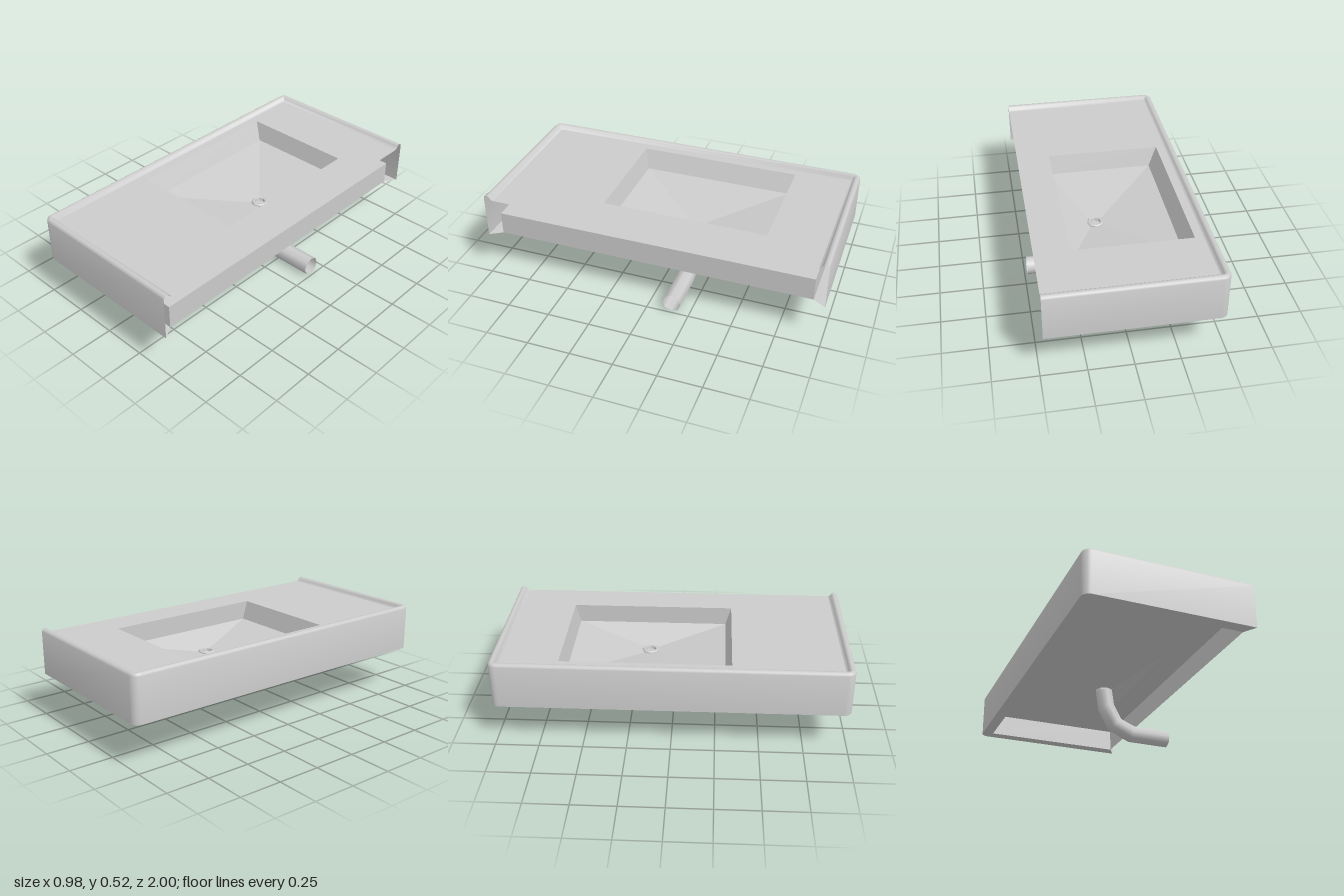
import * as THREE from 'three';
import { toCreasedNormals } from 'three/addons/utils/BufferGeometryUtils.js';

const material = new THREE.MeshStandardMaterial({ color: 0xcccccc, side: THREE.DoubleSide });
const FRONT = -0.49, BACK = 0.475, INNER_BACK = 0.43;
const DECK_Y = 0.5, CEILING_Y = 0.39, BASE_Y = 0.255;
const DRAIN = { x: 0.07, y: 0.315, z: -0.145 };

function part(name, geometry, crease) {
  const mesh = new THREE.Mesh(crease ? toCreasedNormals(geometry, crease) : geometry, material);
  mesh.name = name;
  return mesh;
}

// Surface between successive loops of [x, y, z] points
function loft(loops, closed) {
  const n = loops[0].length, index = [];
  for (let j = 0; j < loops.length - 1; j++) {
    for (let i = 0; i < (closed ? n : n - 1); i++) {
      const k = (i + 1) % n;
      const a = j * n + i, b = j * n + k, c = a + n, d = b + n;
      index.push(a, b, c, b, d, c);
    }
  }
  const g = new THREE.BufferGeometry();
  g.setAttribute('position', new THREE.Float32BufferAttribute(loops.flat(2), 3));
  g.setIndex(index);
  g.computeVertexNormals();
  return g;
}

// U-shaped plan outline, open at the wall side, with rounded front corners
function outline(inset, back) {
  const r = 0.045, steps = 6, c = Math.max(inset, r), rad = Math.max(r - inset, 0.004);
  const pts = [[back, 1 - inset]];
  for (const side of [1, -1]) {
    for (let i = 0; i <= steps; i++) {
      const a = (side > 0 ? i : steps - i) / steps * Math.PI / 2;
      pts.push([FRONT + c - rad * Math.sin(a), side * (1 - c + rad * Math.cos(a))]);
    }
  }
  pts.push([back, inset - 1]);
  return pts;
}

const wallLoop = (inset, y, back = BACK) => outline(inset, back).map(([x, z]) => [x, y, z]);

// Rectangle in plan, as corner points
const rect = (x0, x1, z0, z1) => [[x0, z0], [x1, z0], [x1, z1], [x0, z1]];

// Horizontal sheet with a hole
function sheet(points, hole, y) {
  const toVec = (p) => new THREE.Vector2(p[0], p[1]);
  const shape = new THREE.Shape(points.map(toVec));
  shape.holes.push(new THREE.Path(hole.map(toVec)));
  return new THREE.ShapeGeometry(shape).rotateX(Math.PI / 2).translate(0, y, 0);
}

// Path with straight runs and mitred bends
class Polyline extends THREE.Curve {
  constructor(points) { super(); this.points = points; }
  getPoint(t, target = new THREE.Vector3()) {
    const s = Math.min(Math.max(t, 0), 1) * (this.points.length - 1);
    const i = Math.min(Math.floor(s), this.points.length - 2);
    return target.lerpVectors(this.points[i], this.points[i + 1], s - i);
  }
  getPointAt(t, target) { return this.getPoint(t, target); }
  getTangentAt(t, target) { return this.getTangent(t, target); }
}

export function createModel() {
  const model = new THREE.Group();
  model.name = 'washbasin';

  // Outer walls, rolled rim, base edge and inner walls in one profile
  model.add(part('shell', loft([
    wallLoop(0.07, CEILING_Y, INNER_BACK),
    wallLoop(0.07, BASE_Y, INNER_BACK),
    wallLoop(0, BASE_Y),
    wallLoop(0, 0.508),
    wallLoop(0.004, 0.518),
    wallLoop(0.013, 0.525),
    wallLoop(0.026, 0.525),
    wallLoop(0.036, 0.518),
    wallLoop(0.042, 0.506),
    wallLoop(0.055, DECK_Y),
  ]), 0.8));

  // Flat top around the bowl
  const bowlTop = rect(-0.39, 0.28, -0.622, 0.335);
  const bowlMid = rect(-0.34, 0.28, -0.595, 0.303);
  model.add(part('deck', sheet(outline(0.055, BACK), bowlTop, DECK_Y)));

  // Underside sheet and the panel that faces the wall
  model.add(part('underside', sheet(outline(0.07, INNER_BACK), bowlMid, CEILING_Y)));
  const panel = new THREE.PlaneGeometry(1.86, CEILING_Y - BASE_Y)
    .rotateY(Math.PI / 2).translate(INNER_BACK, (CEILING_Y + BASE_Y) / 2, 0);
  model.add(part('backPanel', panel));

  // Bowl: short steep sides, then a floor falling to the drain
  const r = 0.03;
  const bowlDrain = rect(DRAIN.x - r, DRAIN.x + r, DRAIN.z - r, DRAIN.z + r);
  const raise = (pts, y) => pts.map(([x, z]) => [x, y, z]);
  model.add(part('bowl', loft([
    raise(bowlTop, DECK_Y), raise(bowlMid, CEILING_Y), raise(bowlDrain, DRAIN.y),
  ], true), 0.15));

  // Drain ring with a sunken centre
  const ring = [[0.052, -0.012], [0.05, 0.008], [0.042, 0.014], [0.032, 0.012], [0.028, -0.005], [0, -0.005]]
    .map(([x, y]) => new THREE.Vector2(x, y));
  const drain = part('drain', new THREE.LatheGeometry(ring, 8), 0.7);
  drain.position.set(DRAIN.x, DRAIN.y, DRAIN.z);
  model.add(drain);

  // Waste pipe bending towards the wall
  const path = new Polyline([
    [0.07, 0.31], [0.085, 0.205], [0.142, 0.1], [0.25, 0.054], [0.485, 0.054],
  ].map(([x, y]) => new THREE.Vector3(x, y, DRAIN.z)));
  model.add(part('wastePipe', new THREE.TubeGeometry(path, 4, 0.054, 8)));

  return model;
}
